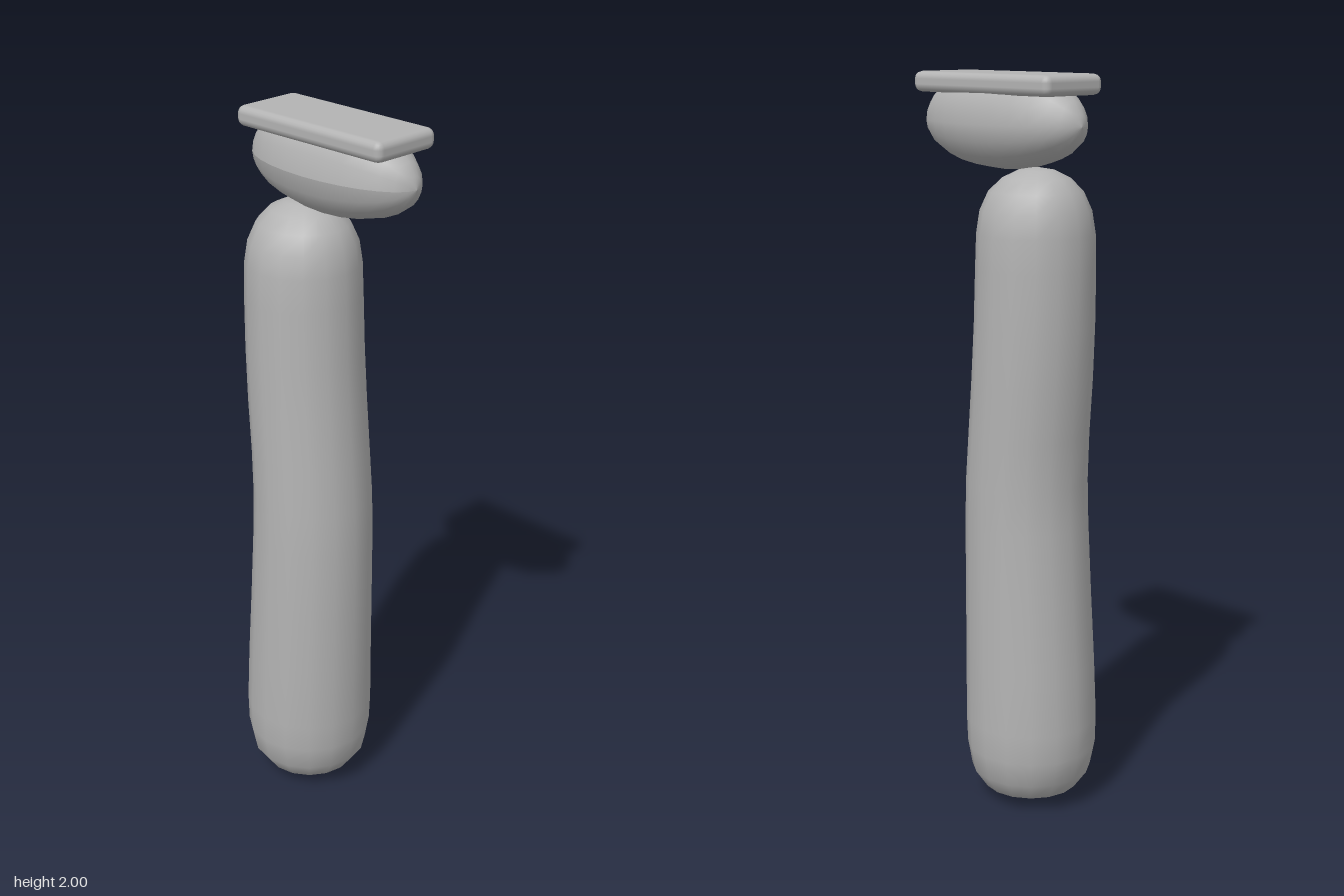
import * as THREE from 'three';
import { RoundedBoxGeometry } from 'three/addons/geometries/RoundedBoxGeometry.js';

// Smooth closed skin through elliptical rings [y, xMin, xMax, zMin, zMax], capped with poles
function loft(rings, sides, bottom, top) {
  const pos = [...bottom];
  const index = [];
  for (const [y, x0, x1, z0, z1] of rings) {
    for (let i = 0; i < sides; i++) {
      const a = (i / sides) * Math.PI * 2;
      pos.push(
        (x0 + x1) / 2 + Math.sin(a) * (x1 - x0) / 2,
        y,
        (z0 + z1) / 2 + Math.cos(a) * (z1 - z0) / 2
      );
    }
  }
  pos.push(...top);
  const at = (r, i) => 1 + r * sides + (i % sides);
  const last = rings.length - 1;
  const topPole = 1 + rings.length * sides;
  for (let i = 0; i < sides; i++) {
    index.push(0, at(0, i + 1), at(0, i));
    for (let r = 0; r < last; r++) {
      index.push(at(r, i), at(r, i + 1), at(r + 1, i + 1));
      index.push(at(r, i), at(r + 1, i + 1), at(r + 1, i));
    }
    index.push(topPole, at(last, i), at(last, i + 1));
  }
  const geo = new THREE.BufferGeometry();
  geo.setAttribute('position', new THREE.Float32BufferAttribute(pos, 3));
  geo.setIndex(index);
  geo.computeVertexNormals();
  return geo;
}

export function createModel() {
  const group = new THREE.Group();
  const grey = new THREE.MeshStandardMaterial({ color: 0xb3b3b3 });
  grey.name = 'grey';

  const add = (name, geo) => {
    const mesh = new THREE.Mesh(geo, grey);
    mesh.name = name;
    group.add(mesh);
    return mesh;
  };

  // Tall, gently S-curved column with rounded ends
  add('column', loft([
    [0.015, -0.075, 0.075, -0.17, -0.025],
    [0.04, -0.13, 0.13, -0.225, 0.035],
    [0.09, -0.165, 0.165, -0.262, 0.07],
    [0.16, -0.178, 0.178, -0.276, 0.082],
    [0.24, -0.18, 0.18, -0.278, 0.086],
    [0.4, -0.178, 0.177, -0.269, 0.087],
    [0.6, -0.173, 0.174, -0.256, 0.088],
    [0.8, -0.168, 0.172, -0.245, 0.088],
    [0.92, -0.164, 0.171, -0.243, 0.084],
    [1.05, -0.161, 0.17, -0.249, 0.073],
    [1.2, -0.158, 0.169, -0.262, 0.061],
    [1.35, -0.155, 0.168, -0.27, 0.051],
    [1.5, -0.152, 0.167, -0.273, 0.045],
    [1.59, -0.148, 0.165, -0.272, 0.041],
    [1.65, -0.137, 0.156, -0.264, 0.032],
    [1.7, -0.112, 0.133, -0.244, 0.01],
    [1.735, -0.075, 0.097, -0.212, -0.026],
    [1.755, -0.035, 0.055, -0.17, -0.068],
  ], 16, [0, 0, -0.1], [0.01, 1.763, -0.118]));

  // Long egg-shaped neck lying front to back, fuller above and flat under the plate
  const egg = new THREE.SphereGeometry(1, 16, 14);
  egg.rotateX(Math.PI / 2);
  const p = egg.attributes.position;
  for (let i = 0; i < p.count; i++) {
    const y = p.getY(i);
    p.setXYZ(i, p.getX(i) * 0.118, Math.min(y * (y > 0 ? 0.15 : 0.12), 0.095), p.getZ(i) * 0.28);
  }
  egg.computeVertexNormals();
  add('neck', egg).position.set(0.01, 1.87, 0);

  // Flat plate with softened edges on top
  add('topPlate', new RoundedBoxGeometry(0.208, 0.054, 0.506, 2, 0.02))
    .position.set(0.009, 1.973, -0.003);

  return group;
}
